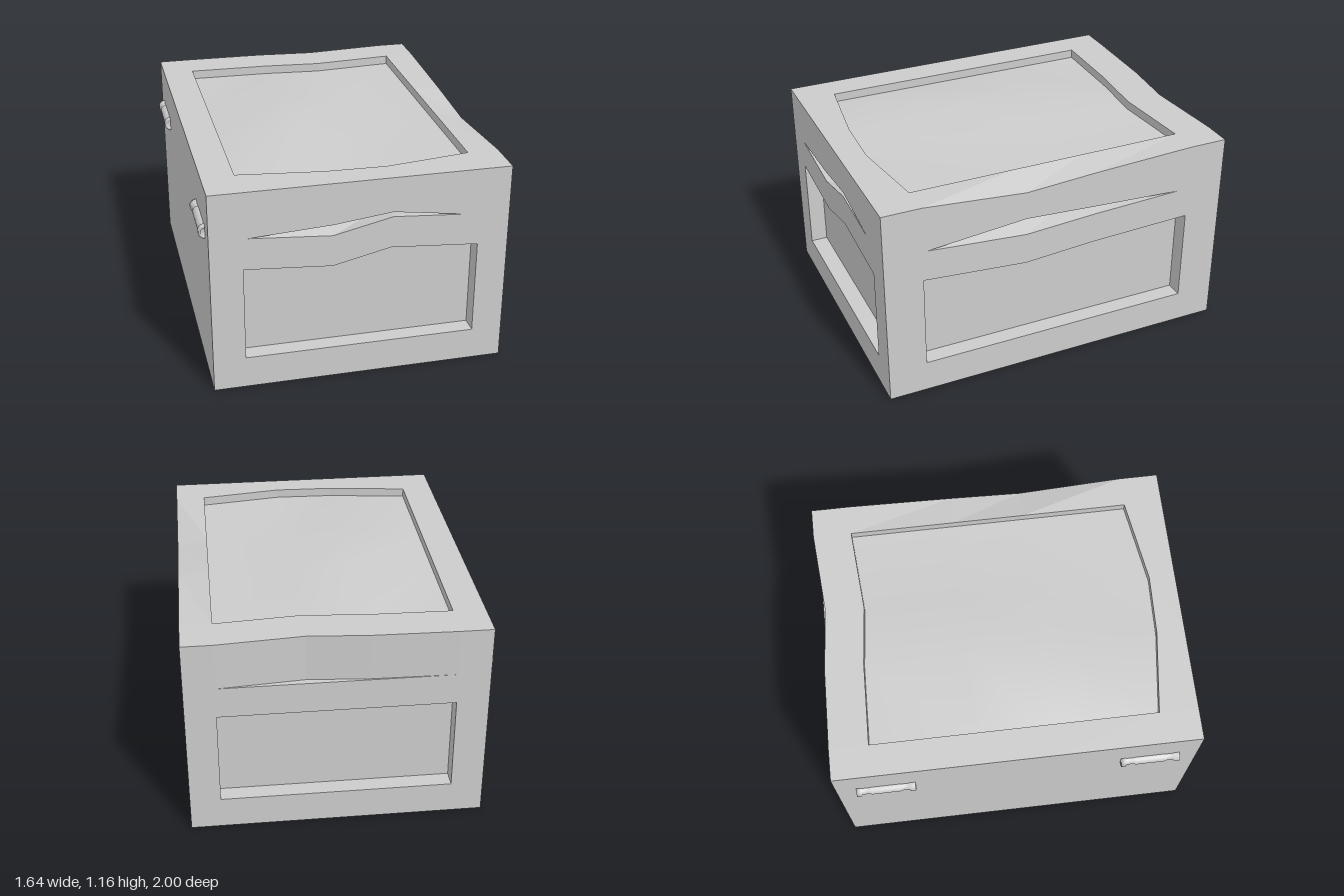
import * as THREE from 'three';

const X0 = -0.785, X1 = 0.815, TOP = 1.15, SEAM = 0.89;
const material = new THREE.MeshStandardMaterial({ color: 0xcccccc, side: THREE.DoubleSide });

function mesh(name, geometry) {
  const m = new THREE.Mesh(geometry, material);
  m.name = name;
  return m;
}

// Quads between two polylines of [x, y, z] points
function strip(name, a, b, closed = false) {
  const pos = [], n = a.length;
  for (let i = 0; i < (closed ? n : n - 1); i++) {
    const j = (i + 1) % n;
    for (const p of [a[i], a[j], b[j], a[i], b[j], b[i]]) pos.push(...p);
  }
  const g = new THREE.BufferGeometry();
  g.setAttribute('position', new THREE.Float32BufferAttribute(pos, 3));
  g.computeVertexNormals();
  return mesh(name, g);
}

// Flat polygon (with holes) laid on a side of the box; place(u, v, depth) gives a point
function flat(name, place, depth, outline, holes = []) {
  const v2 = (pts) => pts.map(([u, v]) => new THREE.Vector2(u, v));
  const shape = new THREE.Shape(v2(outline));
  shape.holes = holes.map((h) => new THREE.Path(v2(h)));
  const g = new THREE.ShapeGeometry(shape);
  const p = g.attributes.position;
  for (let i = 0; i < p.count; i++) p.setXYZ(i, ...place(p.getX(i), p.getY(i), depth));
  g.computeVertexNormals();
  return mesh(name, g);
}

// Wall with a sunken panel and, optionally, a V-shaped gap under the lid
function wall(name, place, outline, panel, gap) {
  const group = new THREE.Group();
  group.name = name;
  const holes = panel ? [panel] : [];
  if (gap) holes.push([...gap.low, ...gap.high.slice(1, -1).reverse()]);
  group.add(flat(name + 'Frame', place, 0, outline, holes));
  const at = (pts, d) => pts.map(([u, v]) => place(u, v, d));
  if (panel) {
    const depth = 0.095;
    group.add(strip(name + 'PanelSides', at(panel, 0), at(panel, depth), true));
    group.add(flat(name + 'Panel', place, depth, panel));
  }
  if (gap) {
    const valley = (pts) => pts.map(([u]) => place(u, SEAM + 0.003, 0.2));
    group.add(strip(name + 'GapFloor', at(gap.low, 0), valley(gap.low)));
    group.add(strip(name + 'GapCeiling', at(gap.high, 0), valley(gap.high)));
  }
  return group;
}

function createHinge(z) {
  // half profile along the pin: rim, neck, barrel, rim
  const profile = [[0, 0], [0.036, 0], [0.036, 0.025], [0.027, 0.03], [0.027, 0.075], [0.032, 0.08],
    [0.032, 0.25], [0.027, 0.255], [0.027, 0.29], [0.036, 0.295], [0.036, 0.325], [0.024, 0.325], [0.024, 0.318], [0, 0.318]];
  const g = new THREE.LatheGeometry(profile.map(([r, y]) => new THREE.Vector2(r, y)), 20);
  g.rotateX(Math.PI / 2);
  const hinge = mesh('hinge', g);
  hinge.position.set(X0, 0.897, z);
  return hinge;
}

function createModel() {
  const model = new THREE.Group();
  model.name = 'chest';

  // Front wall
  model.add(wall('frontWall', (u, v, d) => [u, v, 1 - d],
    [[X0, 0], [X1, 0], [X1, TOP], [X0, TOP]],
    [[-0.61, 0.18], [0.648, 0.18], [0.648, 0.713], [0.17, 0.75], [-0.14, 0.678], [-0.61, 0.713]],
    { low: [[-0.585, SEAM], [-0.14, 0.855], [0.18, 0.928], [0.575, 0.898]],
      high: [[-0.585, SEAM], [-0.14, 0.916], [0.18, 0.955], [0.575, 0.898]] }));

  // Side wall at +x, u runs towards the back
  model.add(wall('leftWall', (u, v, d) => [X1 - d, v, -u],
    [[-1, 0], [1, 0], [1, TOP], [0.78, TOP], [0.2, 1.125], [-0.2, 1.1], [-0.78, TOP], [-1, TOP]],
    [[-0.785, 0.18], [0.785, 0.18], [0.785, 0.715], [0.2, 0.695], [-0.2, 0.667], [-0.785, 0.715]],
    { low: [[-0.76, SEAM], [-0.2, 0.845], [0.2, 0.87], [0.72, SEAM]],
      high: [[-0.76, SEAM], [-0.2, 0.942], [0.2, 0.918], [0.72, SEAM]] }));

  // Back wall below the lid
  model.add(wall('backWall', (u, v, d) => [-u, v, -1 + d],
    [[-X1, 0], [-X0, 0], [-X0, SEAM], [-X1, SEAM]],
    [[-0.648, 0.18], [0.61, 0.18], [0.61, 0.715], [-0.648, 0.715]]));

  // Plain hinge side and bottom
  model.add(wall('rightWall', (u, v, d) => [X0 + d, v, u], [[-1, 0], [1, 0], [1, TOP], [-1, TOP]]));
  model.add(flat('bottom', (u, v) => [u, 0, -v], 0, [[X0, 1], [X1, 1], [X1, -1], [X0, -1]]));

  // Back of the lid, dented inwards above a thin ledge
  const dent = [[X1, 0], [0.648, 0], [0.18, 0.038], [-0.15, 0.01], [-0.61, 0], [X0, 0]];
  const dented = (y) => dent.map(([x, s]) => [x, y, -1 + s]);
  model.add(strip('backLedge', dent.map(([x]) => [x, SEAM, -1]), dented(SEAM)));
  model.add(strip('lidBack', dented(SEAM), dented(TOP)));

  // Top frame: outer edge and panel edge, walked front, +x, back, -x
  const xs = [-0.61, -0.15, 0.18, 0.645], zs = [0.785, 0.2, -0.2, -0.785];
  const frontZ = [0.785, 0.845, 0.855, 0.785], backZ = [-0.785, -0.775, -0.747, -0.785];
  const dip = [TOP, 1.1, 1.125, TOP];
  const outer = [[X0, TOP, 1], ...xs.map((x) => [x, TOP, 1]),
    [X1, TOP, 1], ...zs.map((z, i) => [X1, dip[i], z]),
    ...dented(TOP).slice(0, 5),
    [X0, TOP, -1], ...zs.map((z) => [X0, TOP, z]).reverse()];
  const front = xs.map((x, i) => [x, TOP, frontZ[i]]);
  const back = xs.map((x, i) => [x, TOP, backZ[i]]).reverse();
  const side = (x) => zs.map((z) => [x, TOP, z]);
  const inner = [front[0], ...front, front[3], ...side(xs[3]), back[0], ...back, back[3], ...side(xs[0]).reverse()];
  model.add(strip('topFrame', outer, inner, true));
  const floorY = 1.1;
  model.add(strip('topPanelSides', inner, inner.map(([x, , z]) => [x, floorY, z]), true));

  // Gently bulging top panel
  const g = new THREE.PlaneGeometry(1, 1, 3, 3);
  for (let j = 0; j < 4; j++) {
    for (let i = 0; i < 4; i++) {
      const z = j === 0 ? backZ[i] : j === 3 ? frontZ[i] : zs[3 - j];
      const raised = i === 1 && (j === 1 || j === 2);
      g.attributes.position.setXYZ(j * 4 + i, xs[i], raised ? 1.165 : floorY, z);
    }
  }
  g.computeVertexNormals();
  model.add(mesh('topPanel', g));

  // Hinges
  for (const z of [0.57, -0.89]) model.add(createHinge(z));
  return model;
}

export { createModel };
